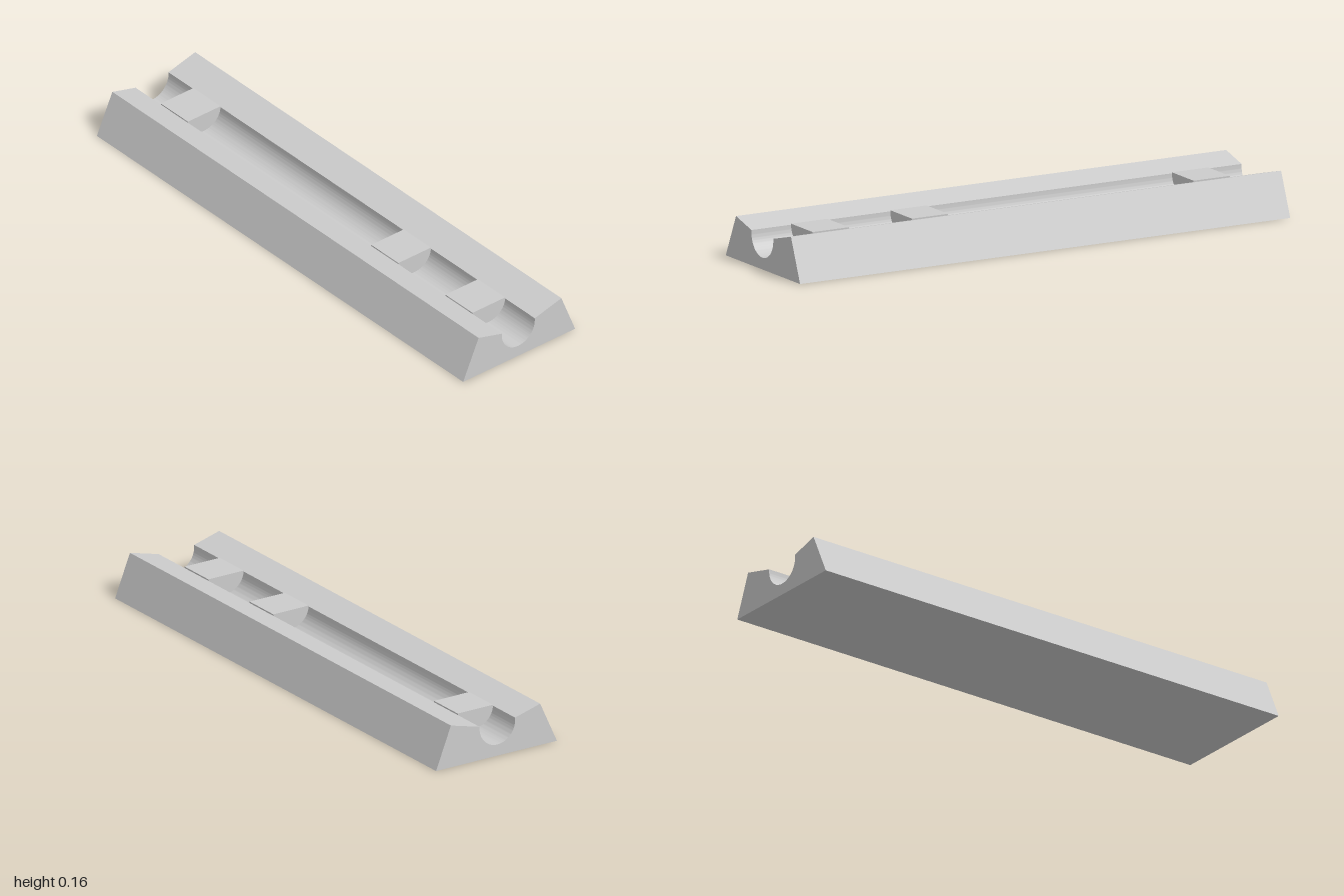
import * as THREE from 'three';
import { toCreasedNormals } from 'three/addons/utils/BufferGeometryUtils.js';

// Extrude a cross-section (shape x = -z, shape y = y) along x from x0 to x1
function extrudeAlongX(shape, x0, x1) {
  const geometry = new THREE.ExtrudeGeometry(shape, { depth: x1 - x0, bevelEnabled: false, curveSegments: 40 });
  geometry.rotateY(Math.PI / 2);
  geometry.translate(x0, 0, 0);
  return toCreasedNormals(geometry, Math.PI / 9);
}

export function createModel() {
  const group = new THREE.Group();
  const material = new THREE.MeshStandardMaterial({ color: 0xcccccc });
  const add = (name, geometry) => {
    const mesh = new THREE.Mesh(geometry, material);
    mesh.name = name;
    group.add(mesh);
  };
  const centre = -0.0037; // groove axis, slightly off the middle

  // Tapered rail with inward-sloping top faces and a round groove
  const rail = new THREE.Shape();
  rail.moveTo(-0.257, 0);
  rail.lineTo(0.257, 0);
  rail.lineTo(0.194, 0.158);
  rail.lineTo(centre + 0.0755, 0.126);
  rail.lineTo(centre + 0.0755, 0.118);
  rail.absarc(centre, 0.118, 0.0755, 0, -Math.PI, true);
  rail.lineTo(centre - 0.0755, 0.127);
  rail.lineTo(-0.186, 0.156);
  rail.closePath();
  add('groovedRail', extrudeAlongX(rail, -1, 1));

  // Half-round blocks sitting in the groove, clear of its floor
  const block = new THREE.Shape();
  block.absarc(centre, 0.131, 0.075, 0, -Math.PI, true);
  block.closePath();
  // Flatten the half-round slightly so its underside meets y = 0.06
  const starts = [-0.863, 0.286, 0.691];
  starts.forEach((x, i) => {
    const geometry = extrudeAlongX(block, x, x + 0.148);
    geometry.translate(0, -0.131, 0);
    geometry.scale(1, 0.071 / 0.075, 1);
    geometry.translate(0, 0.131, 0);
    add(`grooveBlock${i + 1}`, geometry);
  });

  return group;
}
